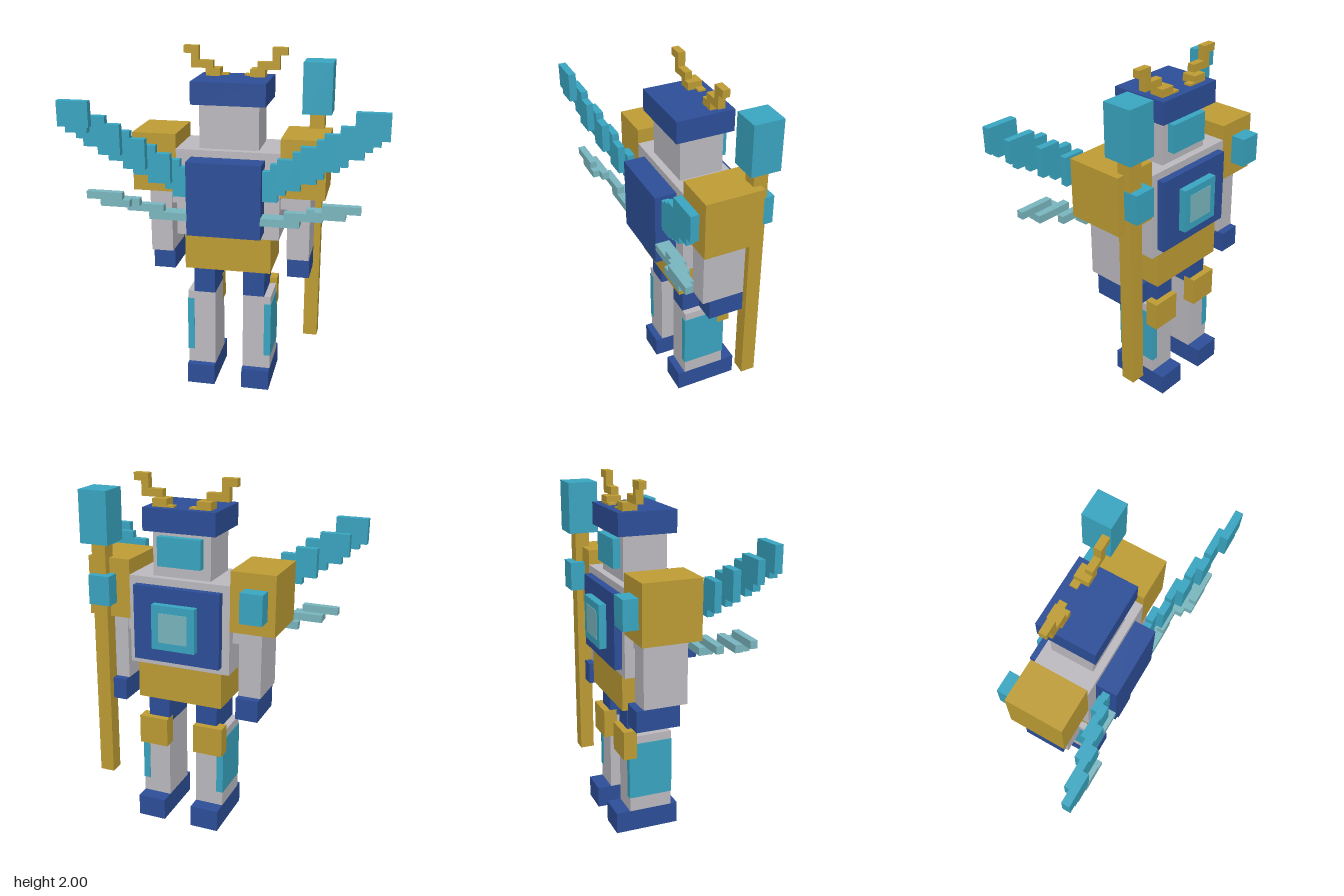
import * as THREE from 'three';

function material(name, color) {
  const m = new THREE.MeshStandardMaterial({ color });
  m.name = name;
  return m;
}

export function createModel() {
  const blue = material('royal blue', 0x2d4f9a);
  const gold = material('gold', 0xc09e35);
  const gray = material('light gray', 0xbebcc2);
  const teal = material('teal', 0x3aa7c3);
  const pale = material('pale teal', 0x7bb8c1);

  const model = new THREE.Group();
  model.name = 'armouredFigure';

  // Axis-aligned block given by its limits on each axis
  function block(name, mat, x0, x1, y0, y1, z0, z1, parent = model) {
    const mesh = new THREE.Mesh(new THREE.BoxGeometry(x1 - x0, y1 - y0, z1 - z0), mat);
    mesh.position.set((x0 + x1) / 2, (y0 + y1) / 2, (z0 + z1) / 2);
    mesh.name = name;
    parent.add(mesh);
  }

  // Same block on both sides
  function pair(name, mat, x0, x1, ...rest) {
    block(name + 'Left', mat, x0, x1, ...rest);
    block(name + 'Right', mat, -x1, -x0, ...rest);
  }

  // Torso, waist, chest plate and pack
  block('torso', gray, -0.293, 0.293, 0.96, 1.46, -0.25, 0.083);
  block('waist', gold, -0.248, 0.248, 0.755, 0.96, -0.25, 0.083);
  block('chestPlate', blue, -0.25, 0.25, 1.0, 1.42, -0.293, -0.25);
  block('chestGem', teal, -0.125, 0.125, 1.085, 1.335, -0.335, -0.293);
  block('chestGemCore', pale, -0.083, 0.083, 1.127, 1.293, -0.338, -0.334);
  block('backPack', blue, -0.208, 0.208, 1.0, 1.42, 0.083, 0.207);

  // Head, crown and visor
  block('head', gray, -0.167, 0.167, 1.46, 1.71, -0.208, 0.042);
  block('crown', blue, -0.208, 0.208, 1.71, 1.835, -0.25, 0.083);
  block('visor', teal, -0.125, 0.125, 1.525, 1.685, -0.25, -0.208);

  // Stepped antlers
  const antler = [
    [0.045, 0.167, 1.83, 1.845, -0.21, -0.167],
    [0.085, 0.167, 1.835, 1.878, -0.208, -0.125],
    [0.125, 0.167, 1.835, 1.92, -0.167, -0.125],
    [0.125, 0.25, 1.878, 1.92, -0.167, -0.125],
    [0.208, 0.25, 1.878, 2.0, -0.167, -0.125],
    [0.208, 0.293, 1.958, 2.0, -0.167, -0.125],
  ];
  antler.forEach((b) => pair('antler', gold, ...b));

  // Arms and shoulder guards
  pair('arm', gray, 0.333, 0.46, 0.835, 1.21, -0.208, 0.042);
  pair('hand', blue, 0.333, 0.46, 0.712, 0.835, -0.25, 0);
  pair('shoulderGuard', gold, 0.293, 0.543, 1.21, 1.543, -0.25, 0.083);
  pair('shoulderGem', teal, 0.375, 0.5, 1.293, 1.458, -0.335, -0.25);
  pair('shoulderJoint', gray, 0.28, 0.42, 1.13, 1.21, -0.2, 0.035);

  // Legs
  pair('foot', blue, 0.083, 0.247, 0, 0.125, -0.29, 0.083);
  pair('shin', gray, 0.083, 0.247, 0.125, 0.59, -0.208, 0.042);
  pair('shinPanel', teal, 0.21, 0.25, 0.21, 0.543, -0.211, 0.045);
  pair('thigh', blue, 0.083, 0.208, 0.59, 0.755, -0.208, 0.042);
  pair('kneeGuard', gold, 0.081, 0.252, 0.457, 0.625, -0.245, -0.167);

  // Staff on the left hand side
  block('staff', gold, 0.415, 0.498, 0.25, 1.63, -0.29, -0.207);
  block('staffHead', teal, 0.375, 0.54, 1.63, 1.92, -0.335, -0.165);

  // Upper wings, stepping out, up and back
  const upperWing = [
    [0.205, 0.293, 1.21, 1.38, 0.125, 0.167],
    [0.25, 0.335, 1.252, 1.42, 0.125, 0.167],
    [0.293, 0.42, 1.293, 1.46, 0.167, 0.207],
    [0.375, 0.503, 1.335, 1.503, 0.167, 0.207],
    [0.42, 0.545, 1.378, 1.545, 0.207, 0.25],
    [0.503, 0.625, 1.42, 1.585, 0.207, 0.25],
    [0.545, 0.67, 1.46, 1.628, 0.25, 0.29],
    [0.625, 0.75, 1.503, 1.67, 0.25, 0.29],
    [0.67, 0.79, 1.545, 1.67, 0.25, 0.29],
    [0.71, 0.832, 1.585, 1.755, 0.29, 0.333],
    [0.70, 0.875, 1.615, 1.755, 0.29, 0.333],
  ];
  upperWing.forEach((b) => pair('upperWing', teal, ...b));

  // Lower wings, thin overlapping slats
  const lowerWing = [
    [0.205, 0.42, 1.083, 1.127, 0.125, 0.207],
    [0.335, 0.545, 1.125, 1.169, 0.165, 0.207],
    [0.46, 0.67, 1.167, 1.21, 0.207, 0.25],
    [0.545, 0.748, 1.208, 1.25, 0.25, 0.29],
    [0.503, 0.67, 1.17, 1.21, 0.23, 0.29],
  ];
  lowerWing.forEach((b) => pair('lowerWing', pale, ...b));

  return model;
}
